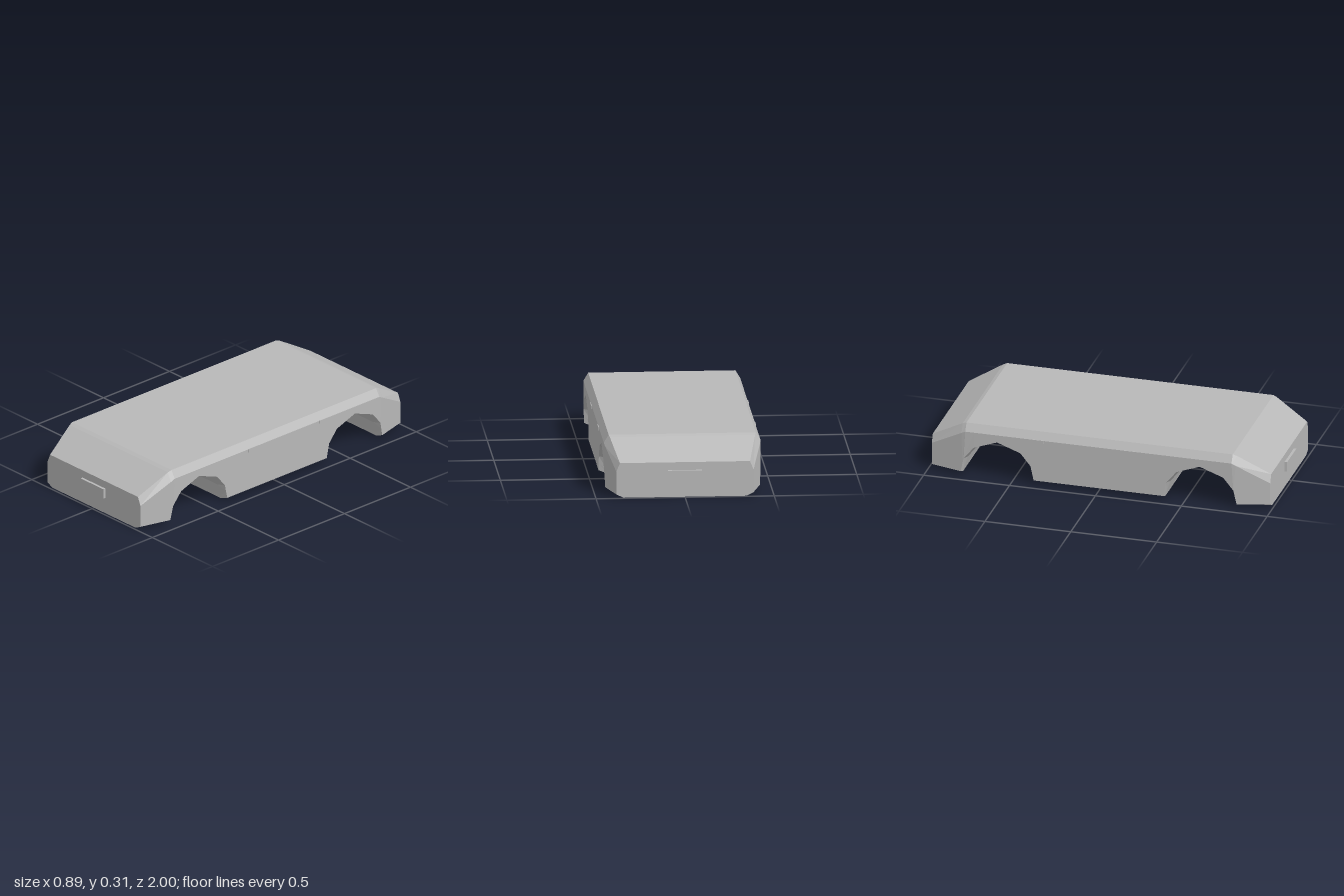
import * as THREE from 'three';

const grey = new THREE.MeshStandardMaterial({ color: 0xb8b8b8 });
grey.name = 'bodyGrey';

// Linear interpolation through [|z|, value] pairs
function along(points, z) {
  const d = Math.abs(z);
  for (let i = 1; i < points.length; i++) {
    const [z0, v0] = points[i - 1], [z1, v1] = points[i];
    if (d <= z1) return v0 + (v1 - v0) * Math.max(0, (d - z0) / (z1 - z0));
  }
  return points[points.length - 1][1];
}

const END = 0.985, ARCH_Z = 0.59;
const sideWidth = [[0, 0.44], [0.78, 0.44], [END, 0.385]];
const bottomWidth = [[0, 0.39], [0.78, 0.39], [END, 0.345]];
const roofWidth = [[0, 0.413], [0.775, 0.413], [END, 0.365]];
const shoulderHeight = [[0, 0.27], [0.775, 0.27], [END, 0.15]];
const roofHeight = [[0, 0.315], [0.775, 0.315], [0.798, 0.306], [END, 0.199]];

// Half wheel arch: underside offset and height, then outer lip offset and height
const halfArch = [
  [0.213, 0, 0.213, 0.02],
  [0.208, 0.02, 0.204, 0.062],
  [0.185, 0.095, 0.195, 0.105],
  [0.13, 0.163, 0.136, 0.177],
  [0, 0.212, 0, 0.227],
];

function archStations(centre) {
  const back = halfArch.slice(0, -1).reverse().map(([a, b, c, d]) => [-a, b, -c, d]);
  return [...halfArch, ...back].map(([a, b, c, d]) => [centre + a, b, centre + c, d]);
}

// Eight-cornered cross-section, counter-clockwise seen from the front
function section([z, bottom, lipZ, lip]) {
  const right = [
    [along(bottomWidth, z), bottom, z],
    [along(sideWidth, lipZ), lip, lipZ],
    [along(sideWidth, z), along(shoulderHeight, z), z],
    [along(roofWidth, z), along(roofHeight, z), z],
  ];
  return [...right, ...right.map(([x, y, w]) => [-x, y, w]).reverse()];
}

function createBody() {
  const rows = [
    [END, 0, END, 0.02],
    ...archStations(ARCH_Z),
    ...archStations(-ARCH_Z),
    [-END, 0, -END, 0.02],
  ].map(section);
  const position = [];
  const triangle = (a, b, c) => position.push(...a, ...b, ...c);

  // Skin between neighbouring sections
  for (let i = 0; i < rows.length - 1; i++) {
    for (let j = 0; j < 8; j++) {
      const k = (j + 1) % 8;
      const a = rows[i][j], b = rows[i][k], c = rows[i + 1][k], d = rows[i + 1][j];
      triangle(a, d, c);
      triangle(a, c, b);
    }
  }
  // Flat nose and tail
  const nose = rows[0], tail = rows[rows.length - 1];
  for (let j = 1; j < 7; j++) {
    triangle(nose[0], nose[j], nose[j + 1]);
    triangle(tail[0], tail[j + 1], tail[j]);
  }
  const geometry = new THREE.BufferGeometry();
  geometry.setAttribute('position', new THREE.Float32BufferAttribute(position, 3));
  geometry.computeVertexNormals();
  const body = new THREE.Mesh(geometry, grey);
  body.name = 'body';
  return body;
}

function box(name, w, h, d, x, y, z) {
  const mesh = new THREE.Mesh(new THREE.BoxGeometry(w, h, d), grey);
  mesh.name = name;
  mesh.position.set(x, y, z);
  return mesh;
}

export function createModel() {
  const model = new THREE.Group();
  model.name = 'carBody';
  model.add(createBody());

  // Blank number plates at both ends
  model.add(box('frontPlate', 0.19, 0.058, 0.03, 0, 0.125, 0.985));
  model.add(box('rearPlate', 0.19, 0.058, 0.03, 0, 0.125, -0.985));

  // Two door handles on each side
  for (const side of [1, -1]) {
    for (const z of [0.18, -0.36]) {
      model.add(box(side > 0 ? 'leftDoorHandle' : 'rightDoorHandle', 0.02, 0.019, 0.08, side * 0.433, 0.262, z));
    }
  }
  return model;
}
